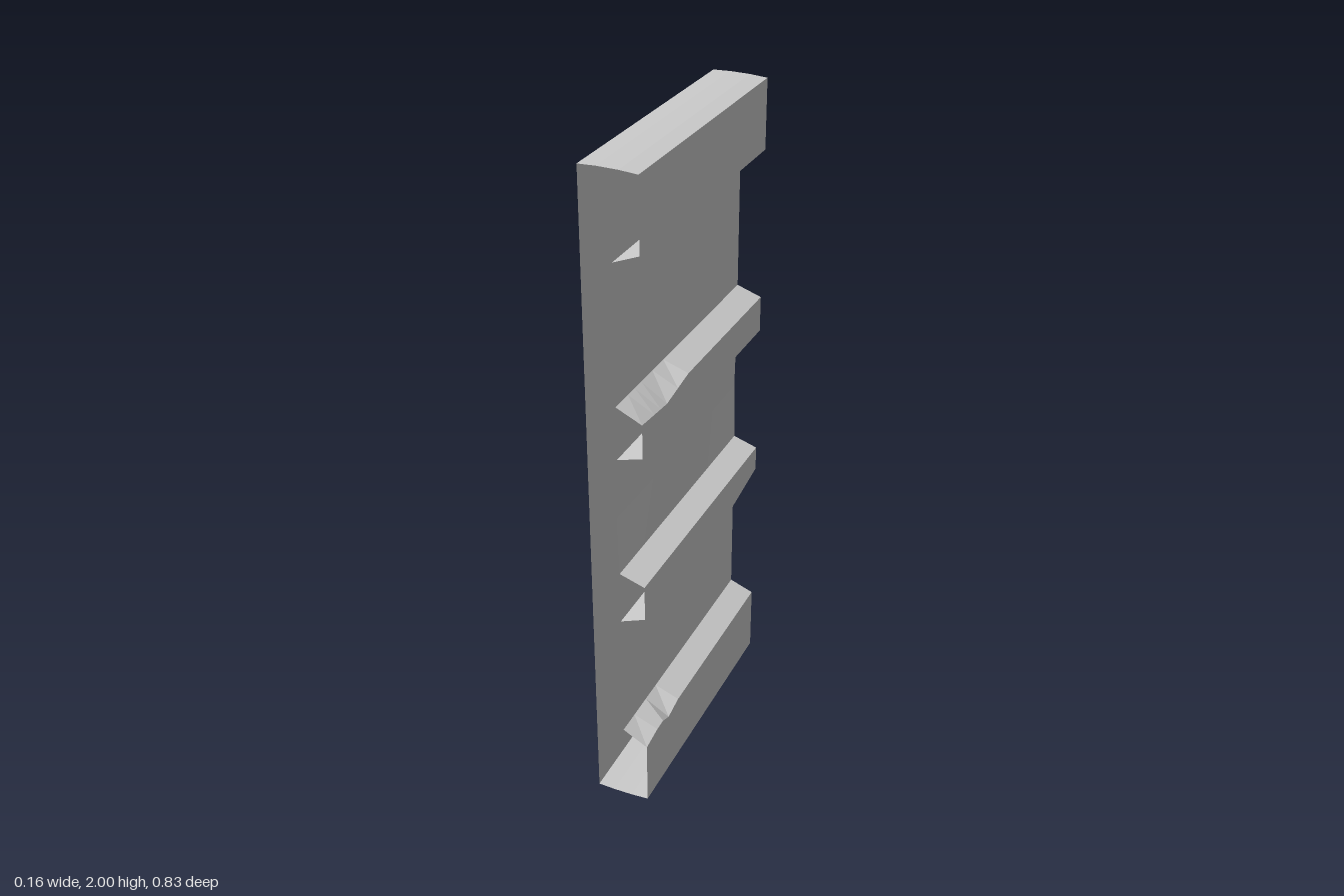
import * as THREE from 'three';

const HALF = 0.414; // half length along z
const BACK = -0.082, FRONT = 0.082, RECESS = 0.006;

const material = new THREE.MeshStandardMaterial({
  color: 0xcccccc, flatShading: true, side: THREE.DoubleSide,
});

// Stations along z, placed where the chipped edges bend
const stations = [HALF, 0.34, 0.30, 0.26, 0.19, 0.12, 0, -0.12, -0.20, -0.24, -HALF];

// Piecewise-linear value along z; keys run from +z to -z
function along(z, keys) {
  if (z >= keys[0][0]) return keys[0][1];
  for (let i = 1; i < keys.length; i++) {
    const [z0, v0] = keys[i - 1], [z1, v1] = keys[i];
    if (z >= z1) return v0 + (v1 - v0) * (z0 - z) / (z0 - z1);
  }
  return keys[keys.length - 1][1];
}

// Sweeps an open cross-section along z; profile(z) returns [x, y] points
function ribbon(name, profile) {
  const pos = [], index = [];
  const n = profile(0).length;
  for (const z of stations) for (const [x, y] of profile(z)) pos.push(x, y, z);
  for (let s = 0; s < stations.length - 1; s++) {
    for (let i = 0; i < n - 1; i++) {
      const a = s * n + i, b = a + n;
      index.push(a, b, b + 1, a, b + 1, a + 1);
    }
  }
  const geo = new THREE.BufferGeometry();
  geo.setAttribute('position', new THREE.Float32BufferAttribute(pos, 3));
  geo.setIndex(index);
  const flat = geo.toNonIndexed();
  flat.computeVertexNormals();
  const mesh = new THREE.Mesh(flat, material);
  mesh.name = name;
  return mesh;
}

// Front edges of the slats, with their chips
const sillEdge = z => along(z, [[HALF, 0.211], [0.34, 0.223], [0.30, 0.223], [0.26, 0.207], [0.19, 0.223]]);
const lowerUnder = z => along(z, [[-0.24, 0.685], [-HALF, 0.716]]);
const upperUnder = z => along(z, [[0, 1.212], [-0.12, 1.236], [-0.20, 1.212]]);
const upperTop = z => along(z, [[HALF, 1.314], [0.26, 1.3], [0.12, 1.324]]);

export function createModel() {
  const group = new THREE.Group();
  group.name = 'slattedPanel';

  // Hollow casing: slightly bowed top, flat back, slightly bowed bottom
  group.add(ribbon('casing', () => [
    [FRONT, 1.995], [0.03, 1.999], [-0.03, 2], [BACK, 1.998],
    [BACK, 0.002], [-0.03, 0], [0.03, 0.001], [FRONT, 0.005],
  ]));

  // Raised slats with bevelled upper and lower sides
  group.add(ribbon('bottomSlat', z => [[FRONT, 0.005], [FRONT, sillEdge(z)], [RECESS, 0.252]]));
  group.add(ribbon('lowerSlat', z => [
    [RECESS, 0.655], [FRONT, lowerUnder(z)], [FRONT, 0.795], [RECESS, 0.82],
  ]));
  group.add(ribbon('upperSlat', z => [
    [RECESS, 1.19], [FRONT, upperUnder(z)], [FRONT, upperTop(z)], [RECESS, 1.35],
  ]));
  group.add(ribbon('topSlat', () => [[RECESS, 1.757], [FRONT, 1.787], [FRONT, 1.995]]));

  // Recessed panels between the slats; the middle one is slightly warped
  const panels = [[0.252, 0.655, 0], [0.82, 1.19, 0.004], [1.35, 1.757, 0]];
  panels.forEach(([low, high, warp], i) => {
    const mid = (low + high) / 2;
    group.add(ribbon(`recessedPanel${i + 1}`, z => [
      [RECESS, low], [RECESS - warp * Math.abs(z) / HALF, mid], [RECESS, high],
    ]));
  });

  return group;
}
